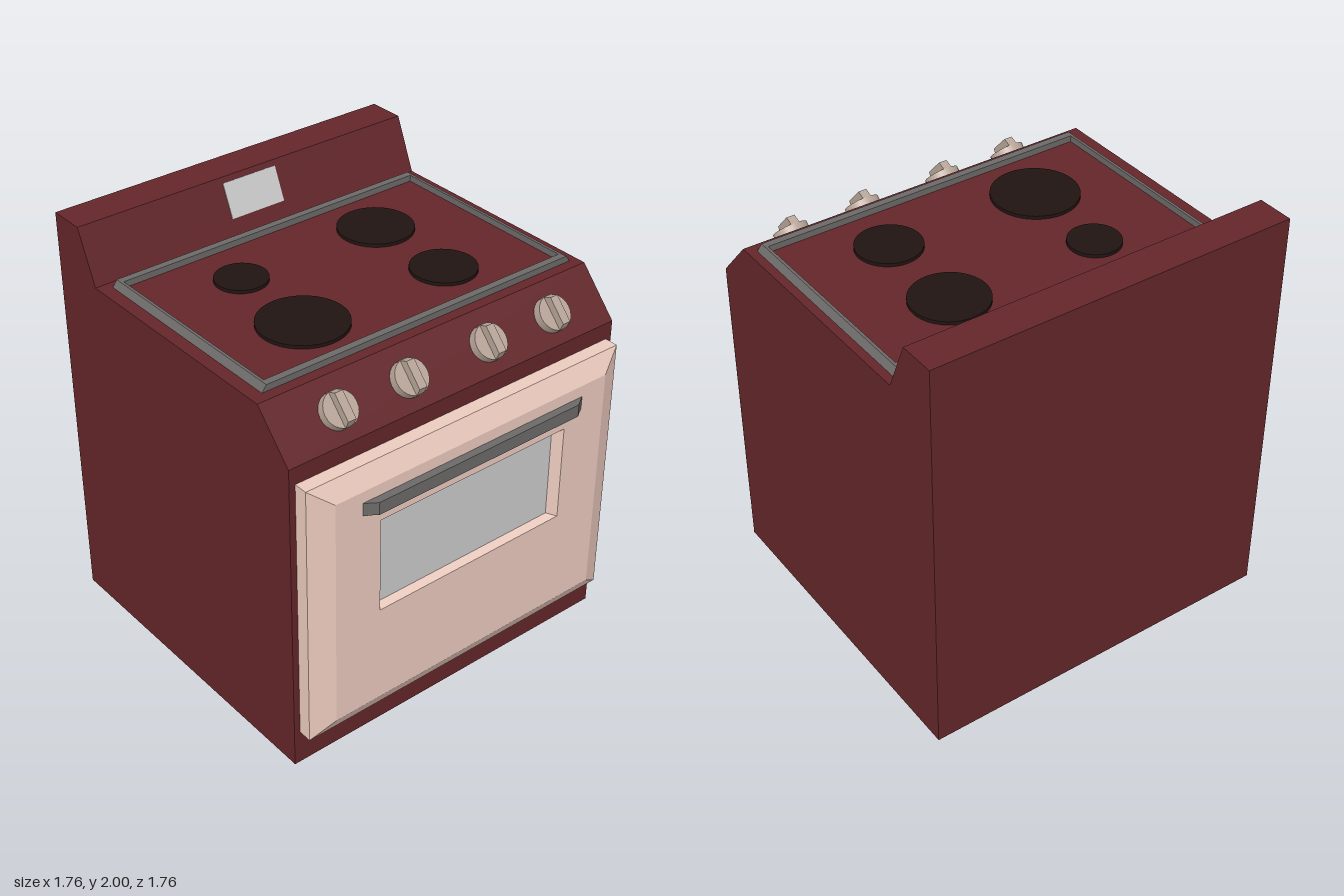
import * as THREE from 'three';

const mat = (color, extra = {}) => new THREE.MeshStandardMaterial({ color, ...extra });
const enamel = mat(0x63262a);
const doorPaint = mat(0xebcabe, { flatShading: true });
const metal = mat(0x6c6a69, { flatShading: true });
const knobPaint = mat(0xb8a598);
const black = mat(0x201412);
const grey = mat(0xcccccc);

function add(parent, name, geometry, material, x = 0, y = 0, z = 0) {
  const mesh = new THREE.Mesh(geometry, material);
  mesh.name = name;
  mesh.position.set(x, y, z);
  parent.add(mesh);
  return mesh;
}

const polygon = (points) => new THREE.Shape(points.map(([x, y]) => new THREE.Vector2(x, y)));
const extrude = (shape, depth) => new THREE.ExtrudeGeometry(shape, { depth, bevelEnabled: false });

// Joins rectangular rings [x, half width in z, bottom, top] into a stepped shell
function ringShell(rings) {
  const pos = [];
  const index = [];
  for (const [x, h, y0, y1] of rings) {
    pos.push(x, y0, h, x, y0, -h, x, y1, -h, x, y1, h);
  }
  for (let i = 0; i < rings.length - 1; i++) {
    for (let j = 0; j < 4; j++) {
      const a = i * 4 + j;
      const b = i * 4 + (j + 1) % 4;
      index.push(a, b, b + 4, a, b + 4, a + 4);
    }
  }
  const geo = new THREE.BufferGeometry();
  geo.setAttribute('position', new THREE.Float32BufferAttribute(pos, 3));
  geo.setIndex(index);
  const flat = geo.toNonIndexed();
  flat.computeVertexNormals();
  return flat;
}

// Raised cooktop rim whose two ends slope inward
function rimGeometry() {
  const shape = polygon([[-0.56, -0.83], [0.49, -0.83], [0.49, 0.83], [-0.56, 0.83]]);
  shape.holes.push(polygon([[-0.525, -0.795], [0.455, -0.795], [0.455, 0.795], [-0.525, 0.795]]));
  const geo = extrude(shape, 0.03);
  const p = geo.attributes.position;
  for (let i = 0; i < p.count; i++) {
    if (p.getZ(i) > 0.02 && Math.abs(p.getY(i)) > 0.82) p.setY(i, Math.sign(p.getY(i)) * 0.808);
  }
  geo.rotateX(-Math.PI / 2);
  geo.computeVertexNormals();
  return geo;
}

// Control knob: round base with a tapered grip ridge
function makeKnob() {
  const knob = new THREE.Group();
  knob.name = 'knob';
  add(knob, 'knobBase', new THREE.CylinderGeometry(0.08, 0.08, 0.042, 24), knobPaint, 0, 0.021, 0);
  const grip = extrude(polygon([[-0.078, 0.04], [0.078, 0.04], [0.062, 0.08], [-0.062, 0.08]]), 0.04);
  add(knob, 'knobGrip', grip, knobPaint, 0, 0, -0.02);
  return knob;
}

export function createModel() {
  const stove = new THREE.Group();
  stove.name = 'stove';

  // Cabinet with sloped control panel and backsplash, extruded from its side profile
  const profile = polygon([
    [-0.88, 0], [0.73, 0], [0.73, 1.55], [0.54, 1.755], [-0.6, 1.755], [-0.705, 2], [-0.88, 2],
  ]);
  add(stove, 'body', extrude(profile, 1.76), enamel, 0, 0, -0.88);

  // Cooktop rim and burners
  add(stove, 'cooktopRim', rimGeometry(), metal, 0, 1.755, -0.01);
  for (const [x, z, r] of [[-0.265, -0.378, 0.175], [0.2, -0.37, 0.15], [-0.27, 0.36, 0.12], [0.178, 0.378, 0.2]]) {
    add(stove, 'burner', new THREE.CylinderGeometry(r, r, 0.016, 40), black, x, 1.763, z);
  }

  // Display set on the sloped backsplash
  const display = add(stove, 'display', new THREE.BoxGeometry(0.008, 0.163, 0.285), grey, -0.662, 1.9, 0);
  display.rotation.z = Math.atan2(0.105, 0.245);

  // Knobs on the sloped control panel
  for (const z of [-0.583, -0.217, 0.212, 0.576]) {
    const knob = makeKnob();
    knob.position.set(0.641, 1.648, z);
    knob.rotation.z = -Math.atan2(0.205, 0.19);
    stove.add(knob);
  }

  // Oven door: bevelled slab with a recessed window
  const door = new THREE.Group();
  door.name = 'door';
  stove.add(door);
  add(door, 'doorPanel', ringShell([
    [0.73, 0.85, 0.17, 1.47],
    [0.795, 0.85, 0.17, 1.47],
    [0.843, 0.742, 0.255, 1.385],
    [0.843, 0.51, 0.737, 1.203],
    [0.803, 0.477, 0.747, 1.188],
  ]), doorPaint);
  add(door, 'window', new THREE.BoxGeometry(0.02, 0.441, 0.954), grey, 0.793, 0.9675, 0);

  // Handle bar with angled ends
  const bar = extrude(polygon([[0.84, -0.61], [0.88, -0.55], [0.88, 0.55], [0.84, 0.61]]), 0.06);
  bar.rotateX(-Math.PI / 2);
  add(door, 'handle', bar, metal, 0, 1.27, 0);

  return stove;
}
